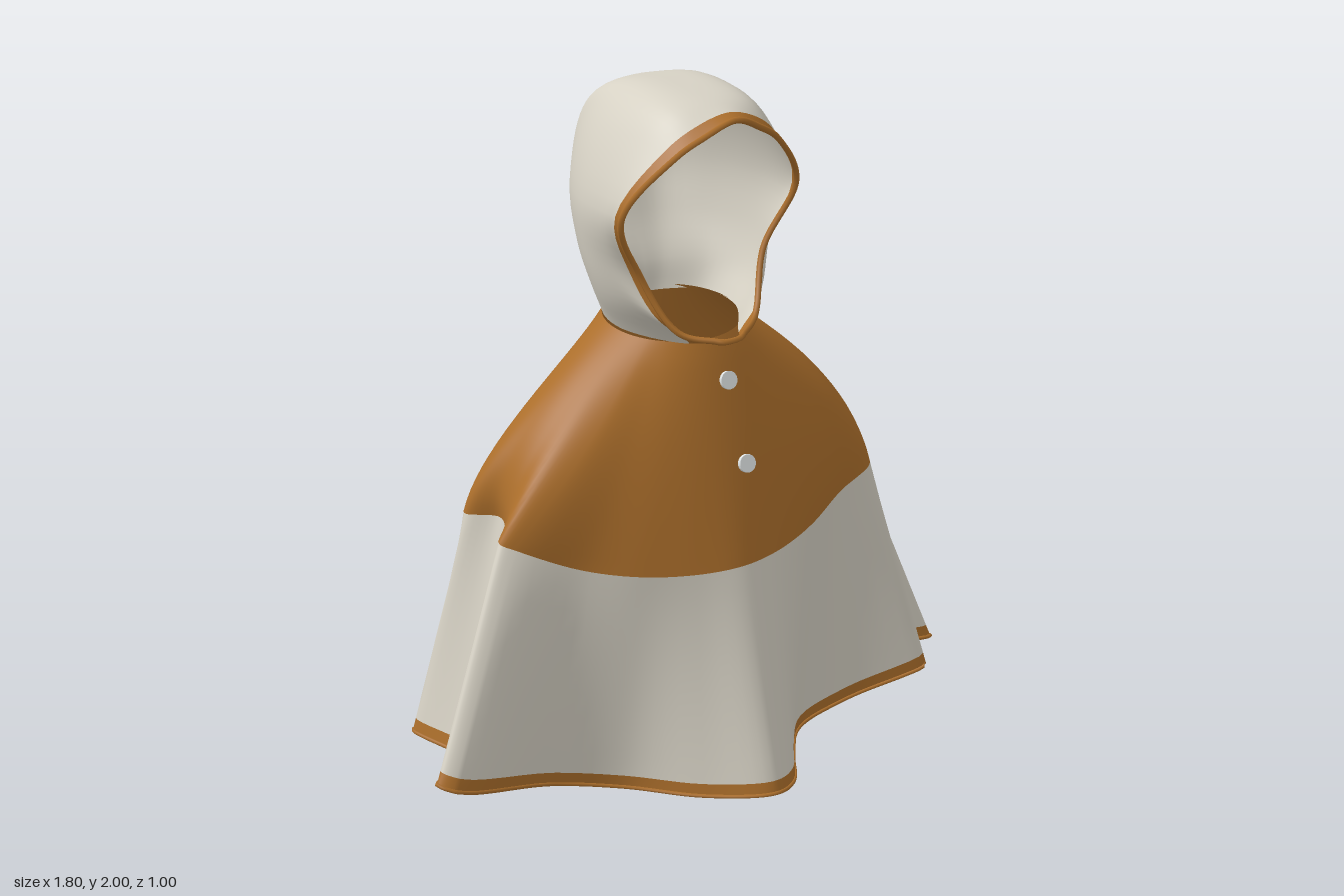
import * as THREE from 'three';
import { mergeVertices } from 'three/addons/utils/BufferGeometryUtils.js';

const mat = (name, color) =>
  new THREE.MeshStandardMaterial({ name, color, side: THREE.DoubleSide });

// closed cross-sections of the cape, front centre first, then round by +x: x, y, z
const YOKE_EDGE = [
  .03, .68, .32, .14, .68, .30, .25, .685, .26, .36, .70, .21, .48, .75, .165, .60, .80, .14,
  .62, .81, .07, .59, .82, .01, .65, .81, -.03, .67, .81, -.12, .60, .78, -.20, .45, .74, -.24,
  .30, .70, -.30, .18, .67, -.355, .08, .66, -.37, -.02, .66, -.365, -.13, .66, -.35,
  -.25, .68, -.32, -.36, .72, -.28, -.47, .77, -.23, -.57, .80, -.19, -.59, .81, -.14,
  -.53, .82, -.06, -.55, .82, .02, -.61, .82, .10, -.57, .80, .13, -.40, .72, .18,
  -.25, .69, .25, -.10, .68, .30];
const HEM = [
  .04, .035, .50, .14, .02, .45, .22, .015, .33, .33, .02, .20, .52, .05, .175, .78, .12, .225,
  .64, .13, .14, .66, .15, .105, .89, .13, .10, .86, .10, -.02, .75, .07, -.16, .56, .06, -.235,
  .35, .05, -.33, .21, .04, -.49, .09, .04, -.46, 0, .06, -.37, -.14, .05, -.34,
  -.28, .05, -.30, -.38, .06, -.34, -.46, .10, -.25, -.62, .10, -.18, -.745, .12, -.23,
  -.70, .13, -.03, -.68, .14, .10, -.895, .23, .25, -.85, .21, .285, -.50, .07, .18,
  -.29, .015, .22, -.12, .015, .38];

// hood arches from the face opening to the back seam, base to crown: half width, y, z
const ARCHES = [
  [.03, 1.335, .25, .13, 1.36, .17, .21, 1.52, .085, .29, 1.70, .12, .17, 1.865, .21, .09, 1.915, .24, 0, 1.95, .26],
  [.10, 1.31, .13, .21, 1.42, .08, .26, 1.54, .04, .295, 1.70, .06, .20, 1.89, .11, .12, 1.965, .14, 0, 1.985, .15],
  [.19, 1.32, -.03, .245, 1.42, -.04, .28, 1.55, -.06, .29, 1.70, -.07, .22, 1.89, -.07, .13, 1.985, -.06, 0, 2, -.05],
  [.17, 1.33, -.16, .195, 1.42, -.17, .22, 1.55, -.21, .23, 1.70, -.23, .19, 1.87, -.22, .13, 1.965, -.19, 0, 1.985, -.18],
  [.07, 1.33, -.22, .09, 1.42, -.235, .115, 1.55, -.30, .13, 1.68, -.345, .13, 1.83, -.34, .11, 1.92, -.29, 0, 1.965, -.25],
  [0, 1.33, -.23, 0, 1.42, -.245, 0, 1.55, -.305, 0, 1.68, -.35, 0, 1.83, -.345, 0, 1.90, -.32, 0, 1.935, -.295]];

const toPoints = a => Array.from({ length: a.length / 3 }, (_, i) => new THREE.Vector3(...a.slice(i * 3, i * 3 + 3)));
const steps = (a, b, n) => Array.from({ length: n + 1 }, (_, i) => a + (b - a) * i / n);

// grid surface through point(u, v), smooth across joined edges
function surface(point, us, vs) {
  const pos = [], index = [], n = vs.length;
  for (const u of us) for (const v of vs) pos.push(...point(u, v).toArray());
  for (let i = 0; i < us.length - 1; i++) for (let j = 0; j < n - 1; j++) {
    const a = i * n + j, b = a + n;
    index.push(a, b, a + 1, b, b + 1, a + 1);
  }
  const g = new THREE.BufferGeometry();
  g.setAttribute('position', new THREE.Float32BufferAttribute(pos, 3));
  g.setIndex(index);
  const merged = mergeVertices(g, 1e-4);
  merged.computeVertexNormals();
  return merged;
}

export function createModel() {
  const model = new THREE.Group();
  model.name = 'hoodedCape';
  const cream = mat('cream cloth', 0xd6d1c4);
  const brown = mat('brown cloth', 0xab6e2b);
  const dark = mat('dark brown', 0x54321a);
  const pale = mat('pale button', 0xdde1e1);
  const add = (name, geometry, material) => {
    const mesh = new THREE.Mesh(geometry, material);
    mesh.name = name;
    model.add(mesh);
    return mesh;
  };

  // yoke: rounded shoulders from the neck, with the folds growing towards its edge
  const yokeCurve = new THREE.CatmullRomCurve3(toPoints(YOKE_EDGE), true);
  const hemCurve = new THREE.CatmullRomCurve3(toPoints(HEM), true);
  const yokePoint = (u, v) => {
    const a = v * Math.PI * 2, s = Math.sin(a), c = Math.cos(a);
    const edge = yokeCurve.getPoint(v % 1);
    const target = new THREE.Vector3(.03 + .61 * s, edge.y, -.03 + .35 * c).lerp(edge, u * u);
    const neck = new THREE.Vector3(.03 + .2 * s, 1.325 - .02 * c, -.05 + .19 * c);
    const f = THREE.MathUtils.lerp(Math.pow(u, 1 - .15 * c), Math.sin(u * Math.PI / 2), s * s);
    return new THREE.Vector3(
      neck.x + (target.x - neck.x) * f,
      neck.y + (target.y - neck.y) * u,
      neck.z + (target.z - neck.z) * f);
  };
  const round = steps(0, 1, 29 * 6);
  add('yoke', surface(yokePoint, steps(0, 1, 16), round), brown);

  // skirt from the yoke edge to the hem, with a brown band
  const skirtPoint = (u, v) => yokeCurve.getPoint(v % 1).lerp(hemCurve.getPoint(v % 1), u);
  add('skirt', surface(skirtPoint, steps(0, .945, 10), round), cream);
  add('hemBand', surface(skirtPoint, [.945, 1], round), brown);
  const hemPath = new THREE.CatmullRomCurve3(steps(0, 1, 145).slice(0, -1).map(v => hemCurve.getPoint(v)), true);
  add('hemEdge', new THREE.TubeGeometry(hemPath, 290, .006, 6, true), brown);

  // hood: smooth arches joined from the face opening to the back
  const arches = ARCHES.map(a => {
    const half = toPoints(a);
    const other = half.slice(0, -1).reverse().map(p => new THREE.Vector3(-p.x, p.y, p.z));
    return new THREE.CatmullRomCurve3([...half, ...other]);
  });
  const hoodPoint = (u, v) => {
    const p = new THREE.CatmullRomCurve3(arches.map(c => c.getPoint(v))).getPoint(u);
    p.z += .15 * Math.max(0, -p.x) * Math.pow(1 - u, 4); // right cheek sits further forward
    p.x += .037;
    return p;
  };
  // the band widens under the chin
  const bandWidth = v => .07 + .08 * Math.pow(Math.abs(2 * v - 1), 8);
  const over = steps(0, 1, 60);
  add('hood', surface((u, v) => hoodPoint(bandWidth(v) + (1 - bandWidth(v)) * u, v), steps(0, 1, 25), over), cream);
  add('hoodBand', surface((u, v) => hoodPoint(bandWidth(v) * u, v), [0, .5, 1], over), brown);
  const rim = new THREE.CatmullRomCurve3(over.map(v => hoodPoint(0, v)), true);
  add('hoodEdge', new THREE.TubeGeometry(rim, 140, .009, 6, true), brown);

  // two front buttons
  [[.07, 1.19, .187], [.09, .96, .256]].forEach(([x, y, z]) => {
    const button = add('button', new THREE.CylinderGeometry(.026, .026, .012, 16), pale);
    button.position.set(x, y, z);
    button.rotation.x = 1.3;
  });

  // bell-shaped flap on the back with two soft lobes and a dark slit
  const flapPoint = (t, s) => {
    const x = -.02 + s * (.165 * Math.pow(Math.sin(Math.min(1, t * 1.8 + .01) * Math.PI / 2), .4) + .035 * t * t);
    const y = .87 - t * (.34 + .035 * Math.sin(Math.PI * Math.abs(s)));
    return new THREE.Vector3(x, y, -.33 - .045 * t - .12 * x - .04 * (1 - s * s));
  };
  add('backFlap', surface(flapPoint, steps(0, 1, 20), steps(1, -1, 24)), brown);
  const slitPoint = (t, s) => flapPoint(t, s * .05).add(new THREE.Vector3(0, 0, -.009 * (1 - s * s)));
  add('flapSlit', surface(slitPoint, steps(.03, .96, 12), steps(1, -1, 6)), dark);

  return model;
}
